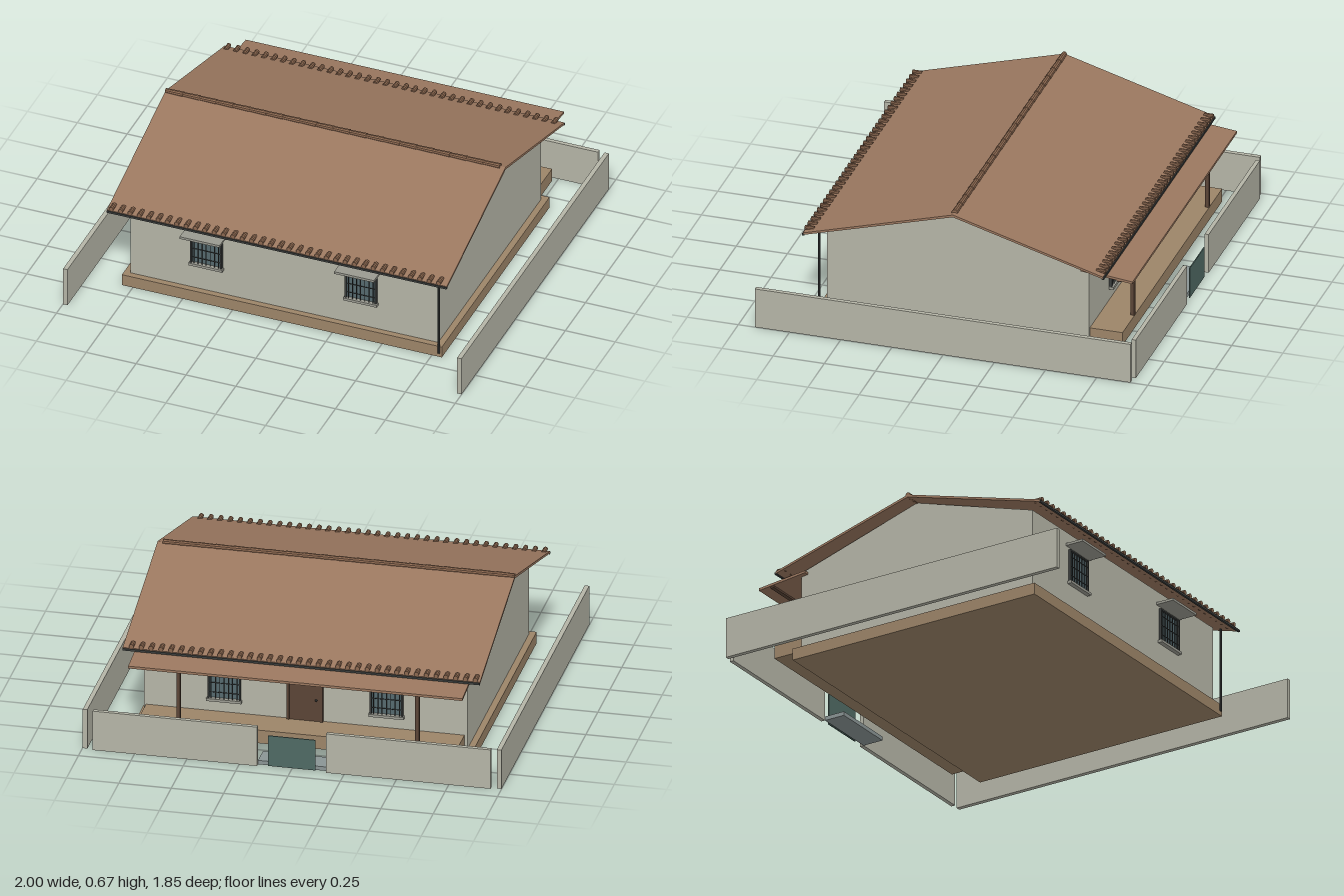
import * as THREE from 'three';

const mat = (color) => new THREE.MeshStandardMaterial({ color, flatShading: true });
const M = {
  wall: mat(0xb4b4a6), roof: mat(0x9a775f), tile: mat(0x8a674f), plinth: mat(0x9c8468),
  wood: mat(0x5a4436), metal: mat(0x3a3d3c), glass: mat(0x55696e), gate: mat(0x4f6a64),
  path: mat(0x8a9494), trim: mat(0x9a9a90),
};

// Box given by its min and max corners
function block(parent, name, m, x0, x1, y0, y1, z0, z1) {
  const mesh = new THREE.Mesh(new THREE.BoxGeometry(x1 - x0, y1 - y0, z1 - z0), m);
  mesh.position.set((x0 + x1) / 2, (y0 + y1) / 2, (z0 + z1) / 2);
  mesh.name = name;
  parent.add(mesh);
  return mesh;
}

// Profile in (z, y) extruded along x between x0 and x1
function prism(parent, name, m, pts, x0, x1) {
  const shape = new THREE.Shape(pts.map(([z, y]) => new THREE.Vector2(-z, y)));
  const geo = new THREE.ExtrudeGeometry(shape, { depth: x1 - x0, bevelEnabled: false });
  geo.rotateY(Math.PI / 2).translate(x0, 0, 0);
  const mesh = new THREE.Mesh(geo, m);
  mesh.name = name;
  parent.add(mesh);
}

// Rod along one axis
function rod(parent, name, m, axis, r, len, x, y, z, r2 = r) {
  const geo = new THREE.CylinderGeometry(r2, r, len, 10);
  if (axis === 'x') geo.rotateZ(Math.PI / 2);
  if (axis === 'z') geo.rotateX(Math.PI / 2);
  const mesh = new THREE.Mesh(geo, m);
  mesh.position.set(x, y, z);
  mesh.name = name;
  parent.add(mesh);
}

// Barred window facing +z, its wall plane at z = 0
function makeWindow() {
  const g = new THREE.Group();
  g.name = 'window';
  block(g, 'windowGlass', M.glass, -0.072, 0.072, 0.205, 0.36, -0.01, 0.004);
  for (const s of [-1, 1]) {
    const x = s * 0.075;
    block(g, 'windowJamb', M.metal, x - 0.004, x + 0.004, 0.2, 0.365, 0, 0.014);
  }
  block(g, 'windowHead', M.metal, -0.079, 0.079, 0.359, 0.366, 0, 0.014);
  for (let i = -3; i <= 3; i++) rod(g, 'windowBar', M.metal, 'y', 0.0022, 0.158, i * 0.0205, 0.282, 0.011);
  for (const y of [0.235, 0.283, 0.33]) rod(g, 'crossBar', M.metal, 'x', 0.002, 0.146, 0, y, 0.011);
  block(g, 'windowSill', M.trim, -0.084, 0.084, 0.19, 0.203, -0.005, 0.022);
  block(g, 'windowCanopy', M.trim, -0.1, 0.1, 0.379, 0.391, -0.005, 0.093);
  return g;
}

export function createModel() {
  const model = new THREE.Group();
  model.name = 'house';

  // Plinth and gabled walls
  block(model, 'plinth', M.plinth, -0.805, 0.8, 0, 0.058, -0.67, 0.67);
  prism(model, 'walls', M.wall,
    [[0.64, 0.05], [0.64, 0.45], [0, 0.648], [-0.64, 0.45], [-0.64, 0.05]], -0.775, 0.77);

  // Main roof slopes with eave tiles and gutters
  for (const s of [-1, 1]) {
    const pts = [[0, 0.648], [s * 0.73, 0.44], [s * 0.733, 0.45], [0, 0.66]];
    prism(model, 'roofSlope', M.roof, s > 0 ? pts : pts.reverse(), -0.855, 0.85);
    for (let i = 0; i < 36; i++) {
      rod(model, 'eaveTile', M.tile, 'z', 0.011, 0.045, -0.833 + i * 0.0469, 0.459, s * 0.712);
    }
    block(model, 'gutter', M.metal, -0.855, 0.85, 0.436, 0.446, s * 0.732 - 0.005, s * 0.732 + 0.005);
  }

  // Overlapping ridge tiles
  for (let i = 0; i < 20; i++) {
    rod(model, 'ridgeTile', M.tile, 'x', 0.015, 0.088, -0.811 + i * 0.0837, 0.659, 0, 0.0125);
  }

  // Downpipe at the front corner
  rod(model, 'downpipe', M.metal, 'y', 0.006, 0.42, 0.786, 0.232, 0.672);

  // Windows on the front and back walls
  for (const x of [-0.39, 0.385]) {
    const front = makeWindow();
    front.position.set(x, 0, 0.64);
    const back = makeWindow();
    back.position.set(x, -0.008, -0.64);
    back.rotation.y = Math.PI;
    model.add(front, back);
  }

  // Back door
  const door = new THREE.Group();
  door.name = 'door';
  block(door, 'doorLeaf', M.wood, -0.075, 0.075, 0.12, 0.35, -0.648, -0.63);
  for (const s of [-1, 1]) block(door, 'doorJamb', M.wood, s * 0.08 - 0.006, s * 0.08 + 0.006, 0.12, 0.36, -0.654, -0.63);
  block(door, 'doorHead', M.wood, -0.086, 0.086, 0.35, 0.362, -0.654, -0.63);
  const knob = new THREE.Mesh(new THREE.SphereGeometry(0.006, 10, 8), M.metal);
  knob.name = 'doorKnob';
  knob.position.set(-0.055, 0.235, -0.653);
  door.add(knob);
  model.add(door);

  // Porch: raised floor, posts, beam and lean-to roof
  block(model, 'porchFloor', M.plinth, -0.76, 0.76, 0.058, 0.125, -0.8, -0.635);
  for (const x of [-0.57, 0.57]) block(model, 'porchPost', M.wood, x - 0.009, x + 0.009, 0.12, 0.412, -0.799, -0.781);
  block(model, 'porchBeam', M.wood, -0.795, 0.79, 0.405, 0.418, -0.8, -0.78);
  prism(model, 'porchRoof', M.roof,
    [[-0.605, 0.434], [-0.605, 0.446], [-0.86, 0.418], [-0.86, 0.406]], -0.8, 0.795);

  // Yard walls, gate and path
  for (const s of [-1, 1]) {
    block(model, 'sideYardWall', M.wall, s * 0.988 - 0.011, s * 0.988 + 0.011, 0, 0.2, -0.915, 0.92);
    const x = s * 0.557;
    block(model, 'backYardWall', M.wall, x - 0.392, x + 0.392, 0, 0.2, -0.925, -0.905);
  }
  block(model, 'gate', M.gate, -0.113, 0.113, 0.005, 0.16, -0.922, -0.917);
  block(model, 'path', M.path, -0.165, 0.165, 0, 0.02, -0.905, -0.8);

  return model;
}
